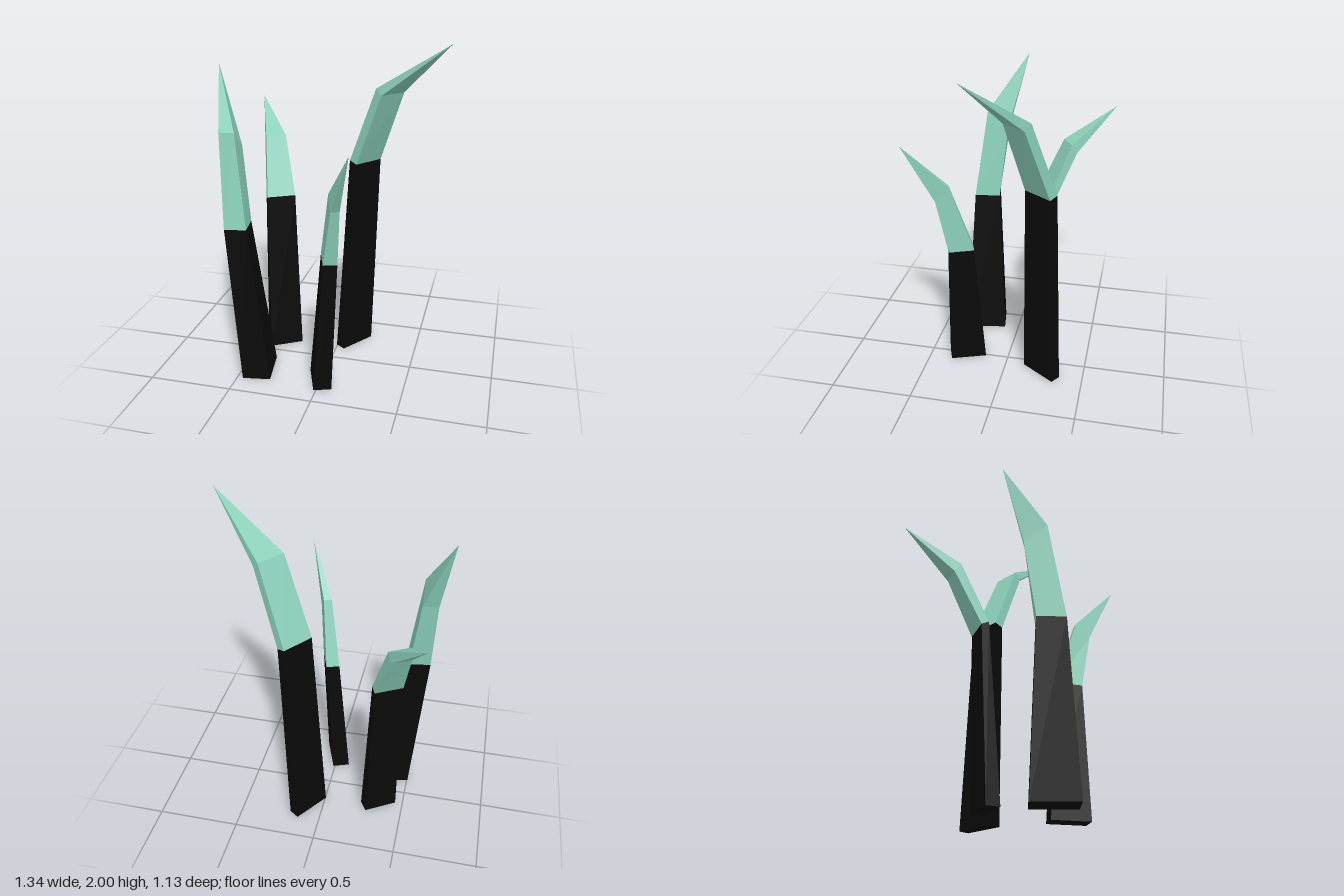
import * as THREE from 'three';

// Rings from the ground up: [x, y, z, lean direction in degrees, width, depth, drop along the lean]
const BLADES = {
  backLeftBlade: {
    rings: [
      [0.094, 0, -0.236, 35, 0.245, 0.068, 0],
      [0.153, 1.258, -0.22, 36, 0.198, 0.057, 0.015],
      [0.312, 1.704, -0.113, 38, 0.173, 0.046, 0.035],
    ],
    tip: [0.67, 2, 0.1],
  },
  frontLeftBlade: {
    rings: [
      [-0.002, 0, 0.267, 70, 0.107, 0.223, 0],
      [0.054, 0.803, 0.278, 71, 0.082, 0.153, 0.005],
      [0.105, 1.178, 0.369, 68, 0.05, 0.086, 0.075],
    ],
    tip: [0.23, 1.5, 0.565],
  },
  backRightBlade: {
    rings: [
      [-0.345, 0, -0.12, -121, 0.208, 0.076, 0],
      [-0.37, 0.995, -0.164, -119, 0.174, 0.042, 0.02],
      [-0.442, 1.325, -0.304, -120, 0.125, 0.036, 0.055],
    ],
    tip: [-0.6, 1.55, -0.565],
  },
  frontRightBlade: {
    rings: [
      [-0.402, 0, 0.23, -99, 0.167, 0.255, 0],
      [-0.504, 0.943, 0.238, -99, 0.128, 0.158, 0],
      [-0.551, 1.44, 0.172, -92, 0.092, 0.13, 0.1],
    ],
    tip: [-0.67, 1.84, 0],
  },
};

// Four corners of a rectangular cross-section, counter-clockwise from above
function ringCorners([x, y, z, degrees, width, depth, drop]) {
  const angle = THREE.MathUtils.degToRad(degrees);
  const cos = Math.cos(angle);
  const sin = Math.sin(angle);
  return [[-1, -1], [1, -1], [1, 1], [-1, 1]].map(([along, across]) => {
    const d = along * depth / 2;
    const w = across * width / 2;
    return [x + cos * d + sin * w, y - along * drop / 2, z + sin * d - cos * w];
  });
}

// Flat-faced geometry from a list of triangles
function facets(triangles) {
  const geometry = new THREE.BufferGeometry();
  geometry.setAttribute('position', new THREE.Float32BufferAttribute(triangles.flat(2), 3));
  geometry.computeVertexNormals();
  return geometry;
}

// Four side walls between two rings
function walls(lower, upper) {
  return lower.flatMap((a, i) => {
    const j = (i + 1) % 4;
    return [[a, lower[j], upper[j]], [a, upper[j], upper[i]]];
  });
}

export function createModel() {
  const black = new THREE.MeshStandardMaterial({ color: 0x0a0a0a });
  black.name = 'black';
  const mint = new THREE.MeshStandardMaterial({ color: 0x8ad0ba });
  mint.name = 'mint';

  const model = new THREE.Group();
  model.name = 'bladeCluster';
  for (const [name, { rings, tip }] of Object.entries(BLADES)) {
    const [base, joint, bend] = rings.map(ringCorners);
    const blade = new THREE.Group();
    blade.name = name;

    // Dark tapering stalk, closed underneath
    const underside = [[base[3], base[2], base[1]], [base[3], base[1], base[0]]];
    const stalk = new THREE.Mesh(facets([...walls(base, joint), ...underside]), black);
    stalk.name = 'stalk';

    // Bent upper part, closing to a point
    const spike = bend.map((corner, i) => [corner, bend[(i + 1) % 4], tip]);
    const point = new THREE.Mesh(facets([...walls(joint, bend), ...spike]), mint);
    point.name = 'point';

    blade.add(stalk, point);
    model.add(blade);
  }
  return model;
}
